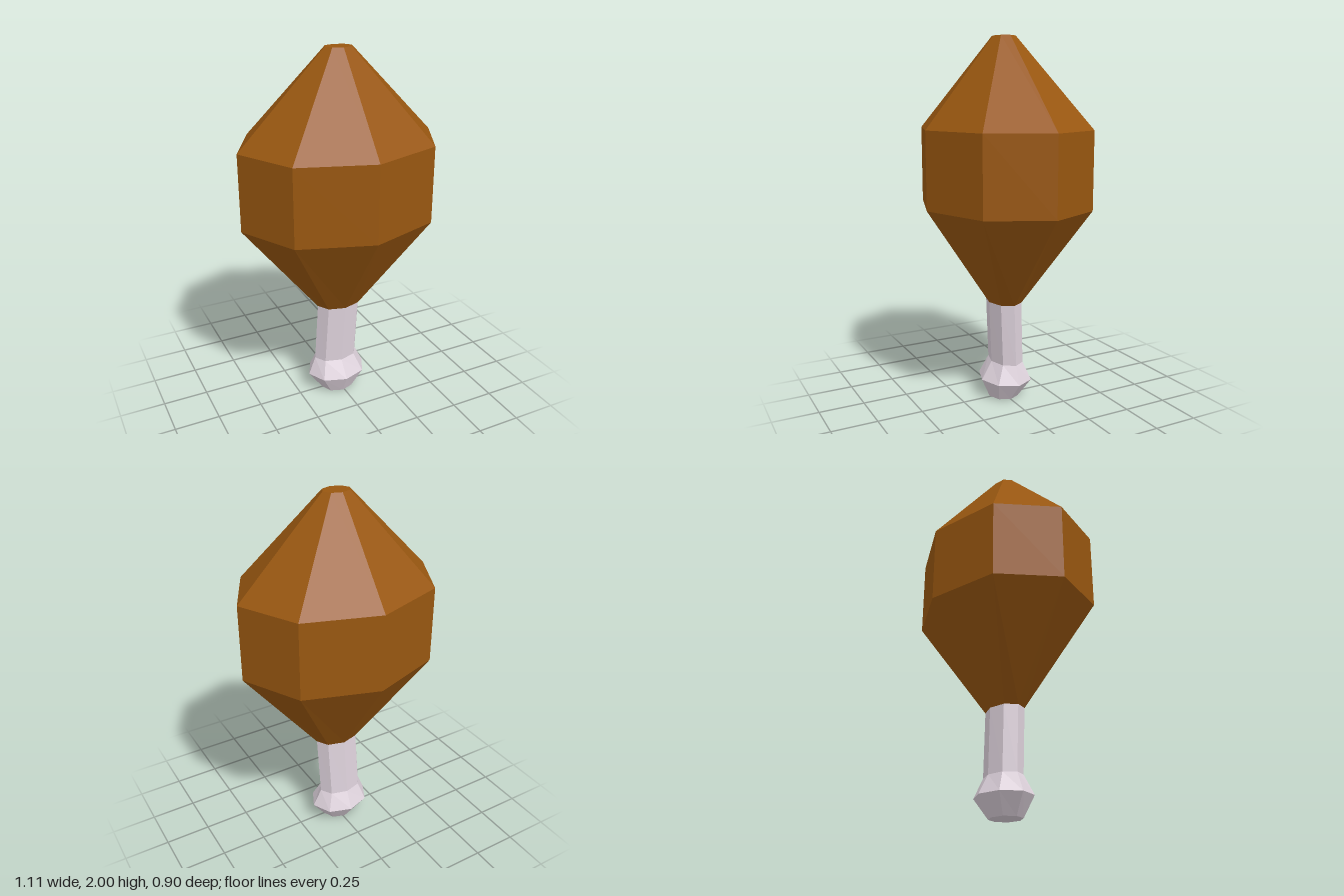
import * as THREE from 'three';

const SIDES = 8;

// Capped eight-sided skin over elliptical rings [y, radiusX, radiusZ, centreX, centreZ], bottom to top
function loft(rings) {
  const pos = [];
  const point = ([y, rx, rz, cx = 0, cz = 0], i) => {
    const a = (i / SIDES) * Math.PI * 2;
    return [cx + rx * Math.cos(a), y, cz + rz * Math.sin(a)];
  };
  const centre = ([y, , , cx = 0, cz = 0]) => [cx, y, cz];
  const tri = (a, b, c) => pos.push(...a, ...b, ...c);
  const first = rings[0], last = rings[rings.length - 1];
  for (let i = 0; i < SIDES; i++) {
    for (let r = 0; r < rings.length - 1; r++) {
      const a = point(rings[r], i), b = point(rings[r + 1], i);
      const c = point(rings[r + 1], i + 1), d = point(rings[r], i + 1);
      tri(a, b, c);
      tri(a, c, d);
    }
    tri(centre(first), point(first, i), point(first, i + 1));
    tri(centre(last), point(last, i + 1), point(last, i));
  }
  const geo = new THREE.BufferGeometry();
  geo.setAttribute('position', new THREE.Float32BufferAttribute(pos, 3));
  geo.computeVertexNormals(); // unshared corners give flat facets
  return geo;
}

export function createModel() {
  const group = new THREE.Group();
  group.name = 'drumstick';

  const meatBrown = new THREE.MeshStandardMaterial({ color: 0x995710 });
  meatBrown.name = 'roast brown';
  const boneWhite = new THREE.MeshStandardMaterial({ color: 0xdfd3dd });
  boneWhite.name = 'bone white';

  // Faceted meat
  const meat = new THREE.Mesh(loft([
    [0.56, 0.13, 0.09],
    [1.10, 0.555, 0.45],
    [1.517, 0.555, 0.45],
    [2.0, 0.076, 0.061],
  ]), meatBrown);
  meat.name = 'meat';

  // Slightly bent bone with a knob at its foot
  const bone = new THREE.Mesh(loft([
    [0, 0.097, 0.085, -0.01, 0],
    [0.106, 0.175, 0.145, -0.01, -0.013],
    [0.206, 0.13, 0.088, -0.013, -0.018],
    [0.56, 0.129, 0.09, 0, 0],
  ]), boneWhite);
  bone.name = 'bone';

  group.add(meat, bone);
  return group;
}
